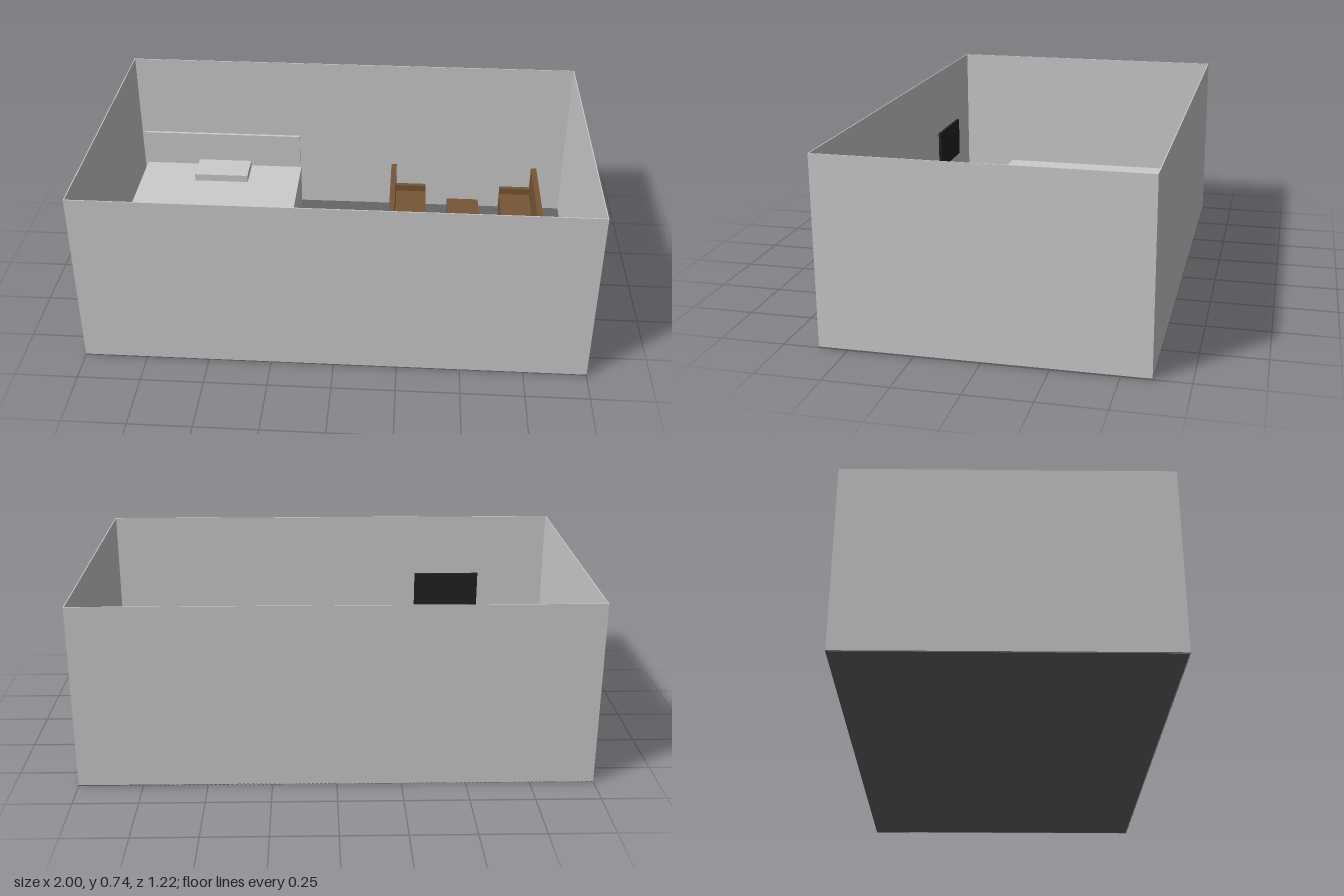
import * as THREE from 'three';

const mat = (color) => new THREE.MeshStandardMaterial({ color, flatShading: true });
const grey = mat(0xcccccc), floorGrey = mat(0x666666), wood = mat(0x765636), black = mat(0x222222);

// Box given by its extents along each axis
function box(parent, name, [x0, x1], [y0, y1], [z0, z1], material) {
  const mesh = new THREE.Mesh(new THREE.BoxGeometry(x1 - x0, y1 - y0, z1 - z0), material);
  mesh.position.set((x0 + x1) / 2, (y0 + y1) / 2, (z0 + z1) / 2);
  mesh.name = name;
  parent.add(mesh);
  return mesh;
}

function group(parent, name, x = 0, z = 0) {
  const g = new THREE.Group();
  g.name = name;
  g.position.set(x, 0, z);
  parent.add(g);
  return g;
}

// Four square legs under a w by d rectangle
function legs(parent, name, w, d, top, t) {
  for (const sx of [-1, 1]) for (const sz of [-1, 1]) {
    const x = sx * (w - t) / 2, z = sz * (d - t) / 2;
    box(parent, name, [x - t / 2, x + t / 2], [0.004, top], [z - t / 2, z + t / 2], wood);
  }
}

function table(parent, name, x, z, w, d, h) {
  const g = group(parent, name, x, z);
  box(g, name + 'Top', [-w / 2, w / 2], [h - 0.02, h], [-d / 2, d / 2], wood);
  legs(g, name + 'Leg', w, d, h - 0.02, 0.017);
}

function chair(parent, x, z) {
  const g = group(parent, 'chair', x, z);
  const s = 0.105;
  box(g, 'chairSeat', [-s / 2, s / 2], [0.105, 0.12], [-s / 2, s / 2], wood);
  box(g, 'chairBack', [-s / 2, s / 2], [0.12, 0.235], [-s / 2, -s / 2 + 0.012], wood);
  legs(g, 'chairLeg', s, s, 0.105, 0.012);
}

// Sofa facing +x, mirrored by turning it half round
function sofa(parent, x, z, turn) {
  const g = group(parent, 'sofa', x, z);
  g.rotation.y = turn;
  const w = 0.083, d = 0.246, back = -w + 0.025;
  box(g, 'sofaSeat', [back, w], [0.004, 0.095], [-d + 0.02, d - 0.02], wood);
  box(g, 'sofaBack', [-w, back], [0.004, 0.23], [-d, d], wood);
  for (const s of [-1, 1]) {
    const zc = s * (d - 0.01);
    box(g, 'sofaArm', [back, w], [0.004, 0.125], [zc - 0.01, zc + 0.01], wood);
  }
}

export function createModel() {
  const model = new THREE.Group();
  model.name = 'room';
  const X = 1, Z = 0.612, H = 0.735, T = 0.004;

  // Shell: floor and four thin walls, open above
  box(model, 'floor', [-X, X], [0, T], [-Z, Z], floorGrey);
  for (const s of [-1, 1]) {
    const x = s * (X - T / 2), z = s * (Z - T / 2);
    box(model, s < 0 ? 'backWall' : 'frontWall', [-X, X], [0, H], [z - T / 2, z + T / 2], grey);
    box(model, s < 0 ? 'rightWall' : 'leftWall', [x - T / 2, x + T / 2], [0, H], [-Z + T, Z - T], grey);
  }

  // Bed in the back corner
  const bed = group(model, 'bed');
  box(bed, 'mattress', [-0.98, -0.24], [T, 0.197], [-0.595, 0.372], grey);
  box(bed, 'headboard', [-0.985, -0.245], [T, 0.36], [-0.608, -0.595], grey);
  box(bed, 'pillow', [-0.725, -0.478], [0.197, 0.23], [-0.58, -0.44], grey);

  // Screen on the front wall
  box(model, 'screen', [-0.685, -0.39], [0.3, 0.47], [0.566, 0.578], black);

  // Two facing sofas with a low table between them
  sofa(model, 0.274, -0.35, 0);
  sofa(model, 0.791, -0.35, Math.PI);
  table(model, 'lowTable', 0.53, -0.35, 0.145, 0.29, 0.11);

  // Two desks, each with a chair
  for (const x of [0.132, 0.778]) {
    table(model, 'desk', x, 0.497, 0.285, 0.187, 0.195);
    chair(model, x, 0.338);
  }
  return model;
}
